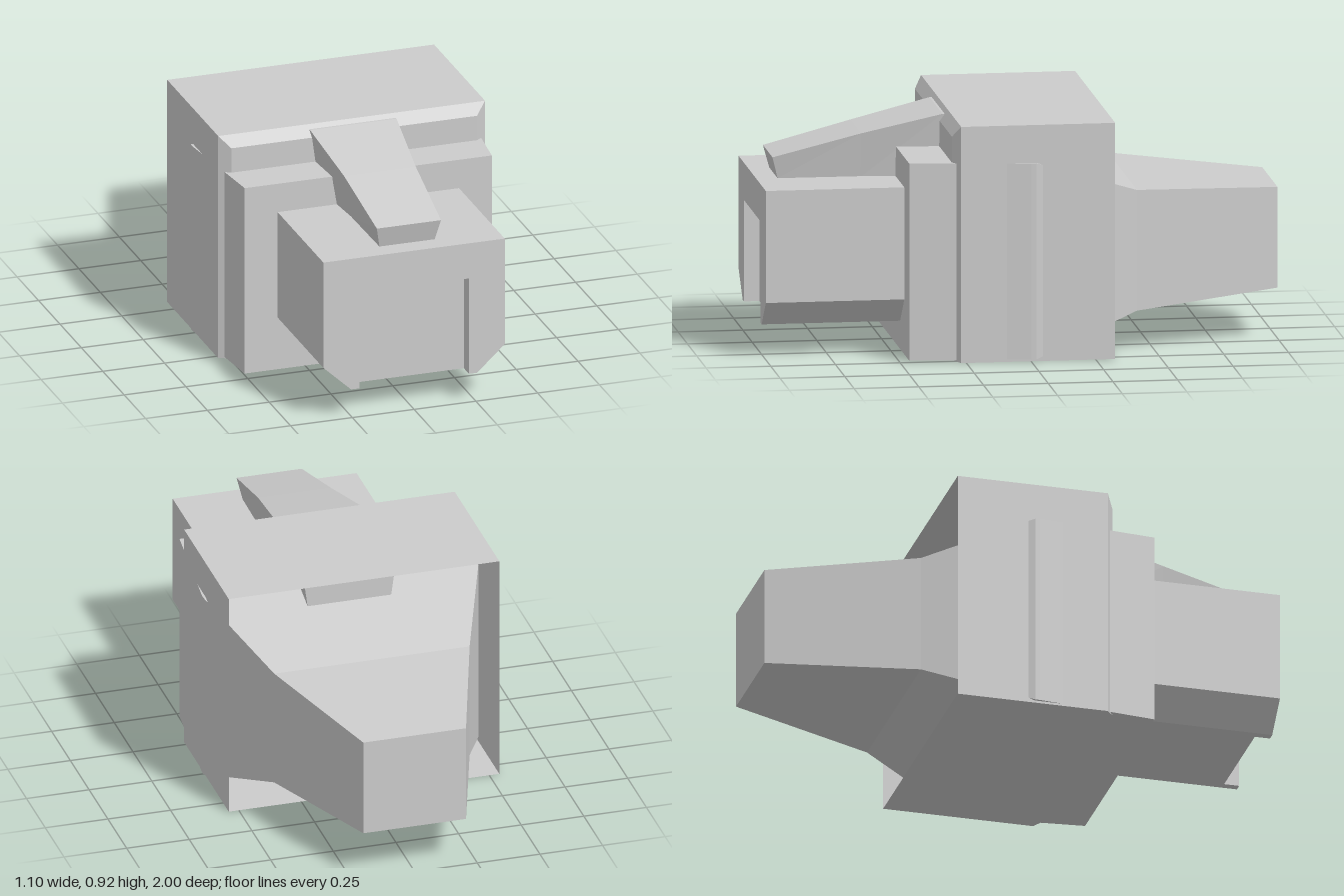
import * as THREE from 'three';

const material = new THREE.MeshStandardMaterial({ color: 0xcccccc, flatShading: true });
const openMaterial = new THREE.MeshStandardMaterial({ color: 0xcccccc, flatShading: true, side: THREE.DoubleSide });

// Loft through four-sided sections listed from front to back:
// [z, half width at bottom, half width at top, bottom y, top y]
function loft(sections, closeBack = true) {
  const rings = sections.map(([z, b, t, y0, y1]) => [[-b, y0, z], [b, y0, z], [t, y1, z], [-t, y1, z]]);
  const positions = [];
  const quad = (a, b, c, d) => positions.push(...a, ...b, ...c, ...a, ...c, ...d);
  for (let s = 0; s < rings.length - 1; s++) {
    for (let i = 0; i < 4; i++) {
      const j = (i + 1) % 4;
      quad(rings[s][i], rings[s + 1][i], rings[s + 1][j], rings[s][j]);
    }
  }
  quad(...rings[0]);
  if (closeBack) quad(...rings[rings.length - 1].slice().reverse());
  const geometry = new THREE.BufferGeometry();
  geometry.setAttribute('position', new THREE.Float32BufferAttribute(positions, 3));
  geometry.computeVertexNormals();
  return geometry;
}

// Extrude an outline along z between two depths
function prism(points, zBack, zFront) {
  const shape = new THREE.Shape(points.map(([x, y]) => new THREE.Vector2(x, y)));
  const geometry = new THREE.ExtrudeGeometry(shape, { depth: zFront - zBack, bevelEnabled: false });
  return geometry.translate(0, 0, zBack);
}

export function createModel() {
  const model = new THREE.Group();
  const add = (name, geometry, mat = material, parent = model) => {
    const mesh = new THREE.Mesh(geometry, mat);
    mesh.name = name;
    parent.add(mesh);
  };

  // Core block running through the sleeve and narrowing into the tail
  add('coreAndTail', loft([
    [0.465, 0.5, 0.5, 0.01, 0.777],
    [0, 0.55, 0.55, 0.012, 0.775],
    [-0.02, 0.55, 0.55, 0.012, 0.775],
    [-0.43, 0.39, 0.39, 0.16, 0.63],
    [-1, 0.205, 0.205, 0.2, 0.592],
  ]));

  // Sleeve with a chamfered front and an open back
  add('sleeve', loft([
    [0.3, 0.497, 0.497, 0.008, 0.877],
    [0.27, 0.54, 0.54, 0.003, 0.922],
    [-0.325, 0.54, 0.54, 0.003, 0.922],
  ], false), openMaterial);

  // Plug nose: chamfered lower corners, shallow notch in the front
  const nose = new THREE.Group();
  nose.name = 'plugNose';
  model.add(nose);
  const outer = [[0.255, 0.12], [0.367, 0.224], [0.367, 0.66], [-0.367, 0.66], [-0.367, 0.224], [-0.255, 0.12]];
  const notch = [[-0.222, 0.12], [-0.222, 0.515], [0.222, 0.515], [0.222, 0.12]];
  add('noseBlock', prism(outer, 0.4, 0.94), material, nose);
  add('noseRim', prism([...outer, ...notch], 0.94, 1), material, nose);

  // Latch lever rising from the nose into the sleeve
  const latch = loft([
    [0.94, 0.112, 0.13, 0.66, 0.745],
    [0.6, 0.115, 0.145, 0.655, 0.832],
    [0.29, 0.14, 0.175, 0.65, 0.905],
    [-0.13, 0.155, 0.19, 0.65, 0.905],
  ]);
  // Lean the tip back toward its lower edge
  const p = latch.attributes.position;
  for (let i = 0; i < p.count; i++) {
    if (p.getZ(i) > 0.9 && p.getY(i) < 0.7) p.setZ(i, 0.918);
  }
  latch.computeVertexNormals();
  add('latchLever', latch);

  return model;
}
